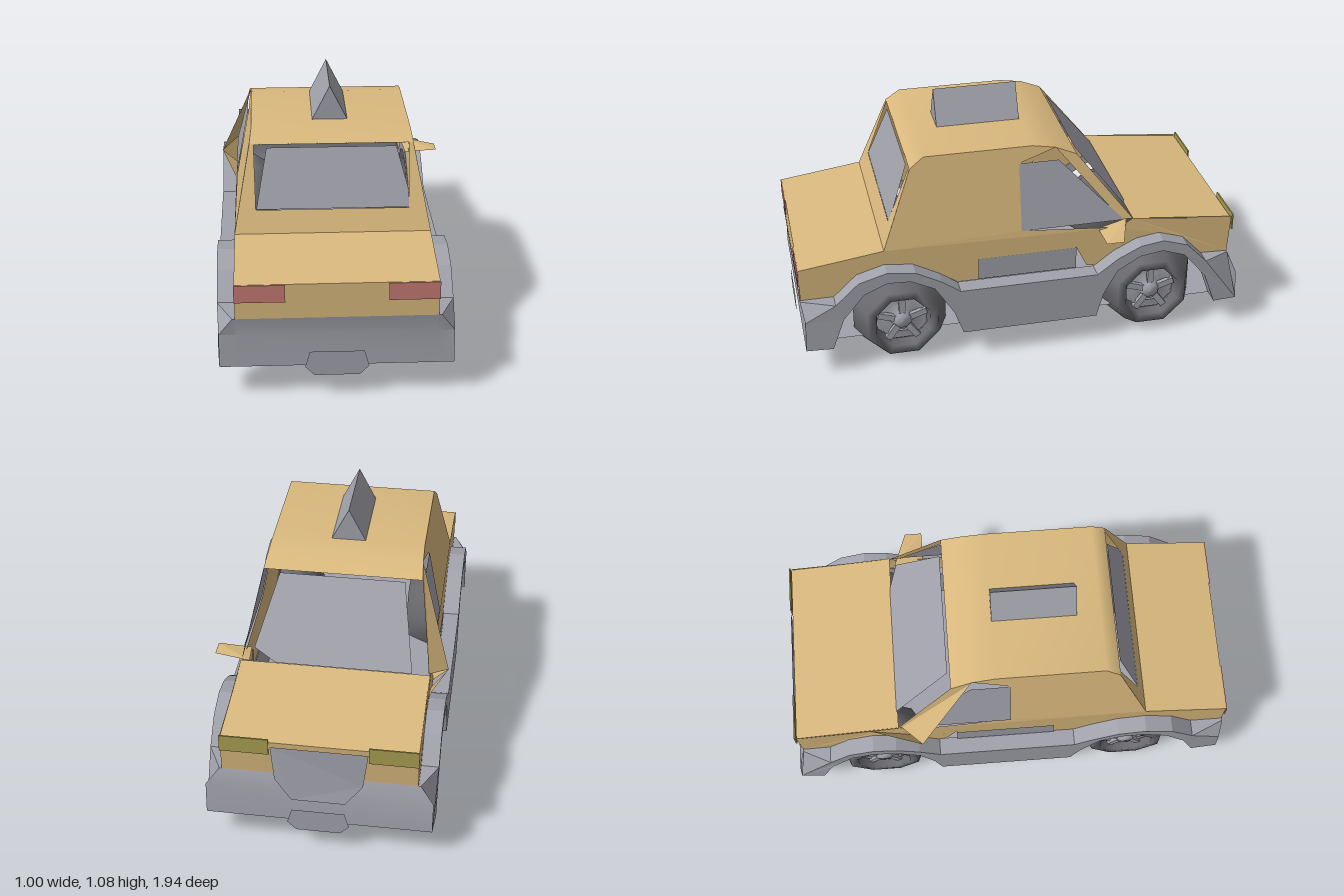
import * as THREE from 'three';
import { mergeGeometries } from 'three/addons/utils/BufferGeometryUtils.js';

const CX = -0.037; // centre line of the car body
const mat = (name, color) => {
  const m = new THREE.MeshStandardMaterial({ color, side: THREE.DoubleSide });
  m.name = name;
  return m;
};

// Flat polygon from 3D points, triangulated along a dropped axis, with an optional hole
function panel(points, drop, hole = []) {
  const flat = (p) => {
    const q = p.filter((_, i) => i !== drop);
    return new THREE.Vector2(q[0], q[1]);
  };
  const faces = THREE.ShapeUtils.triangulateShape(points.map(flat), hole.length ? [hole.map(flat)] : []);
  const all = [...points, ...hole];
  const g = new THREE.BufferGeometry();
  g.setAttribute('position', new THREE.Float32BufferAttribute(faces.flat().flatMap((i) => all[i]), 3));
  g.computeVertexNormals();
  return g;
}

// Smooth sheet across the car through rows of [z, y, halfWidth]
function sheet(rows) {
  const g = new THREE.BufferGeometry();
  const index = [];
  for (let i = 0; i < rows.length - 1; i++) {
    const a = i * 2;
    index.push(a, a + 1, a + 2, a + 1, a + 3, a + 2);
  }
  g.setAttribute('position', new THREE.Float32BufferAttribute(
    rows.flatMap(([z, y, w]) => [CX - w, y, z, CX + w, y, z]), 3));
  g.setIndex(index);
  g.computeVertexNormals();
  return g.toNonIndexed();
}

// Half width of the body: straight below the waist, leaning in above it
const halfWidth = (y) => (y <= 0.55 ? 0.4 : 0.4 - (y - 0.55) * 0.19);
const onSide = (s, pts, out = 0) => pts.map(([z, y]) => [CX + s * (halfWidth(y) + out), y, z]);
const across = (pts) => pts.map(([x, y, z]) => [CX + x, y, z]);

export function createModel() {
  const car = new THREE.Group();
  car.name = 'car';
  const yellow = mat('yellow paint', 0xdab97e);
  const grey = mat('grey trim', 0xa2a2ac);
  const tyreGrey = mat('tyre grey', 0x6c6c71);
  const red = mat('tail light red', 0xc67a72);
  const olive = mat('headlight olive', 0xa89c50);
  const add = (name, geometry, material, parent = car) => {
    const m = new THREE.Mesh(geometry, material);
    m.name = name;
    parent.add(m);
    return m;
  };

  // Body sides with wheel arch cutouts
  const bodySide = [[0.96, 0.35], [0.96, 0.5], [0.6, 0.55], [0, 0.57], [-0.42, 0.535], [-0.48, 0.57],
    [-0.93, 0.525], [-0.92, 0.35], [-0.8, 0.355], [-0.71, 0.45], [-0.6, 0.48], [-0.5, 0.465], [-0.4, 0.41],
    [-0.32, 0.355], [-0.28, 0.36], [-0.23, 0.46], [-0.23, 0.355], [0.29, 0.355], [0.37, 0.41],
    [0.48, 0.465], [0.6, 0.48], [0.72, 0.45], [0.82, 0.355]];
  // Cabin quarter behind the side window, then the windscreen pillar
  const quarter = [[0.6, 0.55], [0.47, 0.89], [0.41, 0.935], [-0.05, 0.935], [-0.15, 0.918], [0, 0.868], [0, 0.57]];
  const pillar = [[-0.15, 0.918], [-0.24, 0.88], [-0.48, 0.57], [-0.43, 0.57]];
  const sideWindow = [[0.01, 0.57], [0.01, 0.865], [-0.16, 0.865], [-0.44, 0.57]];
  const doorPanel = [[0.2, 0.36], [0.2, 0.46], [-0.23, 0.46], [-0.23, 0.36]];
  for (const s of [1, -1]) {
    const label = s > 0 ? 'left' : 'right';
    add(label + 'BodySide', panel(onSide(s, bodySide), 0), yellow);
    add(label + 'CabinSide', mergeGeometries([quarter, pillar].map((p) => panel(onSide(s, p), 0))), yellow);
    add(label + 'Window', panel(onSide(s, sideWindow, 0.003), 0), grey);
    add(label + 'DoorPanel', panel(onSide(s, doorPanel, 0.006), 0), grey);
  }

  // Roof, bonnet, boot lid and end faces
  add('roof', sheet([[0.47, 0.89], [0.41, 0.935], [-0.05, 0.935], [-0.15, 0.918], [-0.24, 0.88]]
    .map(([z, y]) => [z, y, halfWidth(y)])), yellow);
  add('bootLid', sheet([[0.96, 0.5, 0.4], [0.6, 0.55, 0.4]]), yellow);
  add('rearFace', sheet([[0.96, 0.35, 0.4], [0.96, 0.5, 0.4]]), yellow);
  add('bonnet', sheet([[-0.48, 0.57, 0.4], [-0.93, 0.515, 0.4]]), yellow);
  add('noseFace', sheet([[-0.93, 0.515, 0.4], [-0.92, 0.35, 0.4]]), yellow);

  // Rear window frame with a slightly narrower pane
  const slopeZ = (y) => 0.6 - (y - 0.55) * 0.382;
  const rearSlope = (pts) => across(pts.map(([x, y]) => [x, y, slopeZ(y)]));
  add('rearWindowFrame', panel(
    rearSlope([[-0.4, 0.55], [0.4, 0.55], [0.335, 0.89], [-0.335, 0.89]]), 2,
    rearSlope([[-0.312, 0.64], [0.312, 0.64], [0.317, 0.888], [-0.317, 0.888]])), yellow);
  add('rearWindow', panel(rearSlope([[-0.31, 0.642], [0.312, 0.642], [0.312, 0.71], [0.265, 0.876], [-0.265, 0.876]]), 2), grey);

  // Windscreen, open at its sides
  add('windscreen', panel(across([[-0.325, 0.575, -0.485], [0.25, 0.575, -0.485], [0.345, 0.62, -0.45],
    [0.265, 0.872, -0.25], [-0.265, 0.872, -0.25]]), 1), grey);

  // Door mirror on one side, folded flare on the other
  add('leftMirror', panel([[0.33, 0.555, -0.46], [0.49, 0.537, -0.405], [0.49, 0.537, -0.33], [0.345, 0.53, -0.33]], 1), yellow);
  const tip = [-0.507, 0.535, -0.38];
  add('rightMirror', mergeGeometries([
    panel([[-0.365, 0.918, -0.15], tip, [-0.43, 0.57, -0.47]], 0),
    panel([tip, [-0.437, 0.41, -0.3], [-0.437, 0.55, -0.2]], 0),
    panel([tip, [-0.437, 0.42, -0.36], [-0.437, 0.55, -0.6]], 0)]), yellow);

  // Grey lower sides: sill, wheel arches and bumper ends in one outline
  const lower = [[0.955, 0.14], [0.95, 0.28], [0.963, 0.355], [0.82, 0.355], [0.72, 0.45], [0.6, 0.485],
    [0.48, 0.47], [0.37, 0.41], [0.29, 0.352], [-0.31, 0.352], [-0.4, 0.42], [-0.5, 0.47], [-0.6, 0.485],
    [-0.71, 0.45], [-0.8, 0.355], [-0.92, 0.35], [-0.955, 0.14], [-0.85, 0.14], [-0.8, 0.28], [-0.7, 0.4],
    [-0.6, 0.435], [-0.5, 0.42], [-0.4, 0.36], [-0.34, 0.25], [-0.31, 0.14], [0.28, 0.14], [0.32, 0.25],
    [0.4, 0.38], [0.5, 0.43], [0.6, 0.435], [0.7, 0.39], [0.79, 0.28], [0.84, 0.14]];
  const lowerGeo = new THREE.ExtrudeGeometry(
    new THREE.Shape(lower.map(([z, y]) => new THREE.Vector2(-z, y))), { depth: 0.075, bevelEnabled: false });
  lowerGeo.rotateY(Math.PI / 2).translate(0.397, 0, 0);
  // Draw the bumper corners inward towards the ends and the top
  const p = lowerGeo.attributes.position;
  for (let i = 0; i < p.count; i++) {
    if (p.getX(i) > 0.45 && Math.abs(p.getZ(i)) > 0.9) p.setX(i, p.getY(i) > 0.3 ? 0.41 : 0.465);
  }
  lowerGeo.computeVertexNormals();
  for (const s of [1, -1]) {
    const g = lowerGeo.clone();
    if (s < 0) g.rotateY(Math.PI).scale(1, 1, -1); // mirrored; both faces are drawn
    g.translate(CX, 0, 0);
    if (s < 0) {
      const q = g.attributes.position.array;
      for (let i = 0; i < q.length; i += 9) {
        for (let k = 0; k < 3; k++) [q[i + 3 + k], q[i + 6 + k]] = [q[i + 6 + k], q[i + 3 + k]];
      }
      g.computeVertexNormals();
    }
    add(s > 0 ? 'leftLowerSide' : 'rightLowerSide', g, grey);
  }

  // Bumpers and floor
  add('rearBumper', sheet([[0.955, 0.14, 0.465], [0.95, 0.28, 0.465], [0.963, 0.355, 0.41]]), grey);
  add('frontBumper', sheet([[-0.92, 0.35, 0.41], [-0.945, 0.28, 0.465], [-0.955, 0.14, 0.465]]), grey);
  add('floor', sheet([[-0.955, 0.14, 0.4], [0.955, 0.14, 0.4]]), grey);

  // Grille and number plates
  add('grille', panel(across([[-0.2, 0.5, -0.94], [0.195, 0.5, -0.94], [0.18, 0.34, -0.945],
    [0.11, 0.25, -0.96], [-0.11, 0.25, -0.96], [-0.18, 0.34, -0.945]]), 2), grey);
  for (const z of [0.966, -0.97]) {
    add(z > 0 ? 'rearPlate' : 'frontPlate', panel(across([[-0.108, 0.205, z], [0.108, 0.205, z], [0.127, 0.138, z],
      [0.09, 0.1, z], [-0.09, 0.1, z], [-0.127, 0.138, z]]), 2), grey);
  }

  // Lights
  for (const s of [1, -1]) {
    const side = s > 0 ? 'left' : 'right';
    add(side + 'TailLight', new THREE.BoxGeometry(0.2, 0.073, 0.006), red).position.set(CX + s * 0.302, 0.462, 0.962);
    add(side + 'Headlight', new THREE.BoxGeometry(0.2, 0.075, 0.006), olive).position.set(CX + s * 0.302, 0.497, -0.936);
  }

  // Triangular roof sign
  const sign = new THREE.Shape([[-0.073, 0], [0.073, 0], [0, 0.145]].map(([x, y]) => new THREE.Vector2(x, y)));
  add('roofSign', new THREE.ExtrudeGeometry(sign, { depth: 0.36, bevelEnabled: false }), grey)
    .position.set(CX, 0.935, -0.05);

  // Wheels: eight-sided tyre with a domed back and a recessed hub
  const lathe = (pts) => new THREE.LatheGeometry(pts.map(([r, y]) => new THREE.Vector2(r, y)), 8, Math.PI / 8)
    .rotateZ(-Math.PI / 2);
  const tyre = lathe([[0, -0.11], [0.15, -0.11], [0.218, 0], [0.165, 0.11], [0.125, 0.11], [0.115, 0.05]]);
  const hub = lathe([[0.13, 0.045], [0.1, 0.08], [0.06, 0.05], [0.035, 0.095], [0, 0.1]]);
  const spoke = new THREE.BoxGeometry(0.02, 0.1, 0.028);
  for (const s of [1, -1]) {
    for (const z of [0.535, -0.57]) {
      const wheel = new THREE.Group();
      wheel.name = (z > 0 ? 'rear' : 'front') + (s > 0 ? 'Left' : 'Right') + 'Wheel';
      add('tyre', tyre, tyreGrey, wheel);
      add('hub', hub, grey, wheel);
      for (let i = 0; i < 5; i++) {
        const a = (i / 5) * Math.PI * 2;
        const m = add('spoke', spoke, grey, wheel);
        m.position.set(0.078, Math.cos(a) * 0.06, Math.sin(a) * 0.06);
        m.rotation.x = a;
      }
      wheel.position.set(CX + s * 0.33, 0.205, z);
      if (s < 0) wheel.rotation.y = Math.PI;
      car.add(wheel);
    }
  }
  return car;
}
